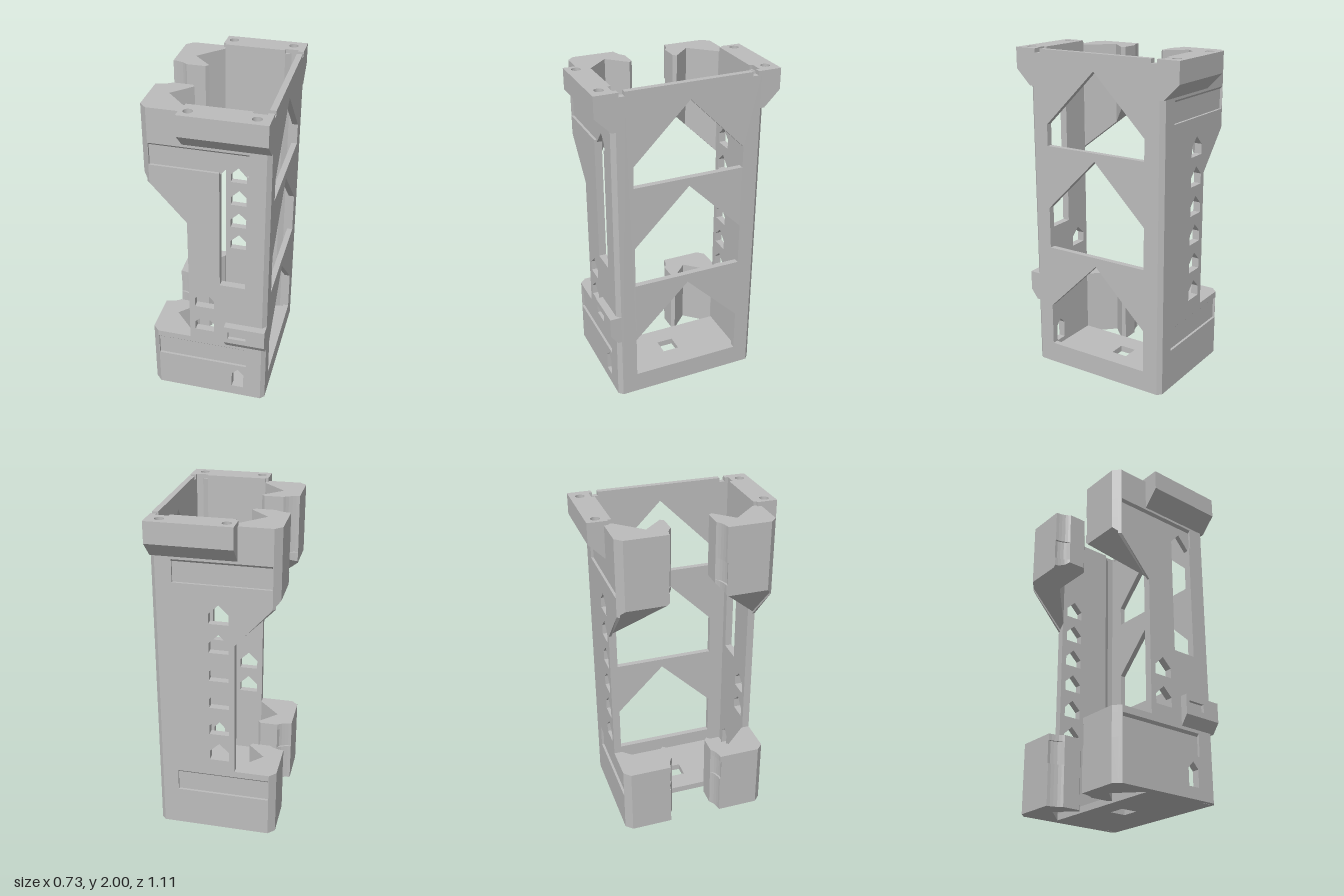
import * as THREE from 'three';

const grey = new THREE.MeshStandardMaterial({ color: 0xbcbcbc });
grey.name = 'grey plastic';

const toShape = (pts, holes = []) => {
  const s = new THREE.Shape(pts.map(p => new THREE.Vector2(...p)));
  holes.forEach(h => s.holes.push(Array.isArray(h) ? new THREE.Path(h.map(p => new THREE.Vector2(...p))) : h));
  return s;
};
const rect = (x0, y0, x1, y1) => [[x0, y0], [x1, y0], [x1, y1], [x0, y1]];
// pointed-roof opening
const house = (x0, x1, y0, shoulder, apex) => [[x0, y0], [x1, y0], [x1, shoulder], [(x0 + x1) / 2, apex], [x0, shoulder]];

const extrude = (shape, depth) => new THREE.ExtrudeGeometry(shape, { depth, bevelEnabled: false, curveSegments: 20 });
// outline in x,y between two z values
const slabZ = (shape, z0, z1) => extrude(shape, z1 - z0).translate(0, 0, z0);
// outline in x,z between two heights
const slabY = (shape, y0, y1) => extrude(shape, y1 - y0).rotateX(Math.PI / 2).translate(0, y1, 0);
// outline in z,y between two x values
const slabX = (shape, x0, x1) => extrude(shape, x1 - x0).rotateY(-Math.PI / 2).translate(x1, 0, 0);

function reshape(geo, rule) {
  const p = geo.attributes.position, v = new THREE.Vector3();
  for (let i = 0; i < p.count; i++) {
    rule(v.fromBufferAttribute(p, i));
    p.setXYZ(i, v.x, v.y, v.z);
  }
  geo.computeVertexNormals();
  return geo;
}

function add(group, name, geo) {
  const m = new THREE.Mesh(geo, grey);
  m.name = name;
  group.add(m);
}

// clamp cross-section, split along the crease of its sloped underside
const clampOuter = [[-0.365, 0.18], [-0.365, 0.42], [-0.34, 0.445], [-0.115, 0.445]];
const clampInner = d => [[-0.365, 0.18], [-0.115, 0.445], [-0.115, 0.41], [-0.255, 0.262], [-0.145, 0.15],
  [-0.162, 0.13], [-0.275, 0.13], [-0.287, 0.14 + d], [-0.303, 0.15 + d], [-0.325, 0.158 + d], [-0.345, 0.163 + d], [-0.365, 0.165 + d / 2]];

function addClamp(g, name, levels, sloped) {
  for (let i = 0; i < 3; i++) {
    const dent = i === 1 ? 0.012 : 0;
    [clampOuter, clampInner(dent)].forEach((plan, k) => {
      const geo = slabY(toShape(plan), levels[i], levels[i + 1]);
      if (sloped && i === 0) reshape(geo, v => {
        if (v.y < levels[0] + 0.001) v.y = Math.max(1.74 - v.z, 1.151 - 1.12 * v.x);
      });
      add(g, name, geo);
    });
  }
}

function makeSide(isFront) {
  const g = new THREE.Group();
  g.name = isFront ? 'frontSide' : 'backSide';

  // openings
  const small = [];
  for (let k = 0; k < (isFront ? 2 : 6); k++) {
    const y = 0.5 + 0.18 * k;
    small.push(house(-0.08, 0.037, y, y + 0.06, y + 0.117));
  }
  const coreHoles = [...small], skinHoles = [...small, rect(-0.322, 0.25, 0.24, 0.39)];
  if (isFront) {
    const door = house(0.15, 0.225, 0.07, 0.175, 0.215);
    coreHoles.push(house(0.075, 0.228, 0.87, 1.615, 1.7), door);
    skinHoles.push(door, [[-0.322, 1.63], [0.075, 1.63], [0.075, 0.87], [0.228, 0.87], [0.228, 1.63],
      [0.24, 1.63], [0.24, 1.765], [-0.322, 1.765]]);
  } else skinHoles.push(rect(-0.322, 1.63, 0.24, 1.765));

  // wall core and outer skin with chamfered ends
  add(g, 'wallCore', slabZ(toShape(rect(-0.115, 0, 0.25, 2), coreHoles), 0.415, 0.445));
  const outline = [[-0.325, 0], [0.335, 0], [0.335, 1.975], [-0.325, 1.975], [-0.325, 1.515], [-0.115, 1.28], [-0.115, 0.43], [-0.325, 0.43]];
  add(g, 'wallSkin', reshape(slabZ(toShape(outline, skinHoles), 0.445, 0.46), v => {
    if (v.z > 0.45) return;
    if (v.x < -0.323) v.x -= 0.015;
    if (v.x > 0.33) v.x += 0.015;
  }));
  add(g, 'wallCorner', slabY(toShape([[0.25, 0.415], [0.285, 0.435], [0.36, 0.435], [0.35, 0.445], [0.25, 0.445]]), 0, 1.975));

  // sloped upper lip of each strap recess
  for (const y of [0.39, 1.765])
    add(g, 'recessLip', slabX(toShape([[0.445, y], [0.46, y], [0.445, y - 0.015]]), -0.322, 0.24));

  addClamp(g, 'lowerClamp', [0, 0.25, 0.39, 0.43], false);
  addClamp(g, 'upperClamp', [1.28, 1.63, 1.765, 1.975], true);

  // mounting flange with blind screw holes
  const screwHoles = [-0.08, 0.285].map(x => new THREE.Path().absarc(x, 0.495, 0.027, 0, Math.PI * 2, true));
  add(g, 'flangeTop', slabY(toShape(rect(-0.13, 0.435, 0.36, 0.555), screwHoles), 1.875, 2));
  add(g, 'flangeUnderside', slabX(toShape([[0.435, 1.78], [0.46, 1.78], [0.555, 1.875], [0.435, 1.875]]), -0.13, 0.36));

  // latch block with a shallow pocket
  if (isFront) {
    add(g, 'latchBase', slabX(toShape([[0.435, 0.41], [0.46, 0.41], [0.485, 0.443], [0.485, 0.59], [0.435, 0.59]]), 0.11, 0.36));
    add(g, 'latchFace', reshape(slabZ(toShape(rect(0.11, 0.47, 0.36, 0.59), [rect(0.135, 0.505, 0.245, 0.555)]), 0.485, 0.505),
      v => { if (v.z < 0.49 && v.y < 0.48) v.y = 0.443; }));
  }
  if (!isFront) g.scale.z = -1;
  return g;
}

export function createModel() {
  const model = new THREE.Group();
  model.name = 'bracketFrame';
  model.add(makeSide(true), makeSide(false));

  // end plate with three large openings and two small top notches
  const plate = [[-0.435, 0], [0.435, 0], [0.435, 2], [0.415, 2], [0.415, 1.975], [0.38, 1.975], [0.38, 2],
    [-0.38, 2], [-0.38, 1.975], [-0.415, 1.975], [-0.415, 2], [-0.435, 2]];
  const openings = [[0.13, 0.395, 0.73], [0.785, 1.042, 1.38], [1.43, 1.56, 1.9]].map(h => house(-0.34, 0.34, ...h));
  add(model, 'endPlate', slabX(toShape(plate, openings), 0.325, 0.36));

  // floor with a square hole
  add(model, 'floor', slabY(toShape(rect(-0.115, -0.43, 0.34, 0.43), [rect(0.01, -0.055, 0.115, 0.05)]), 0, 0.04));
  return model;
}
